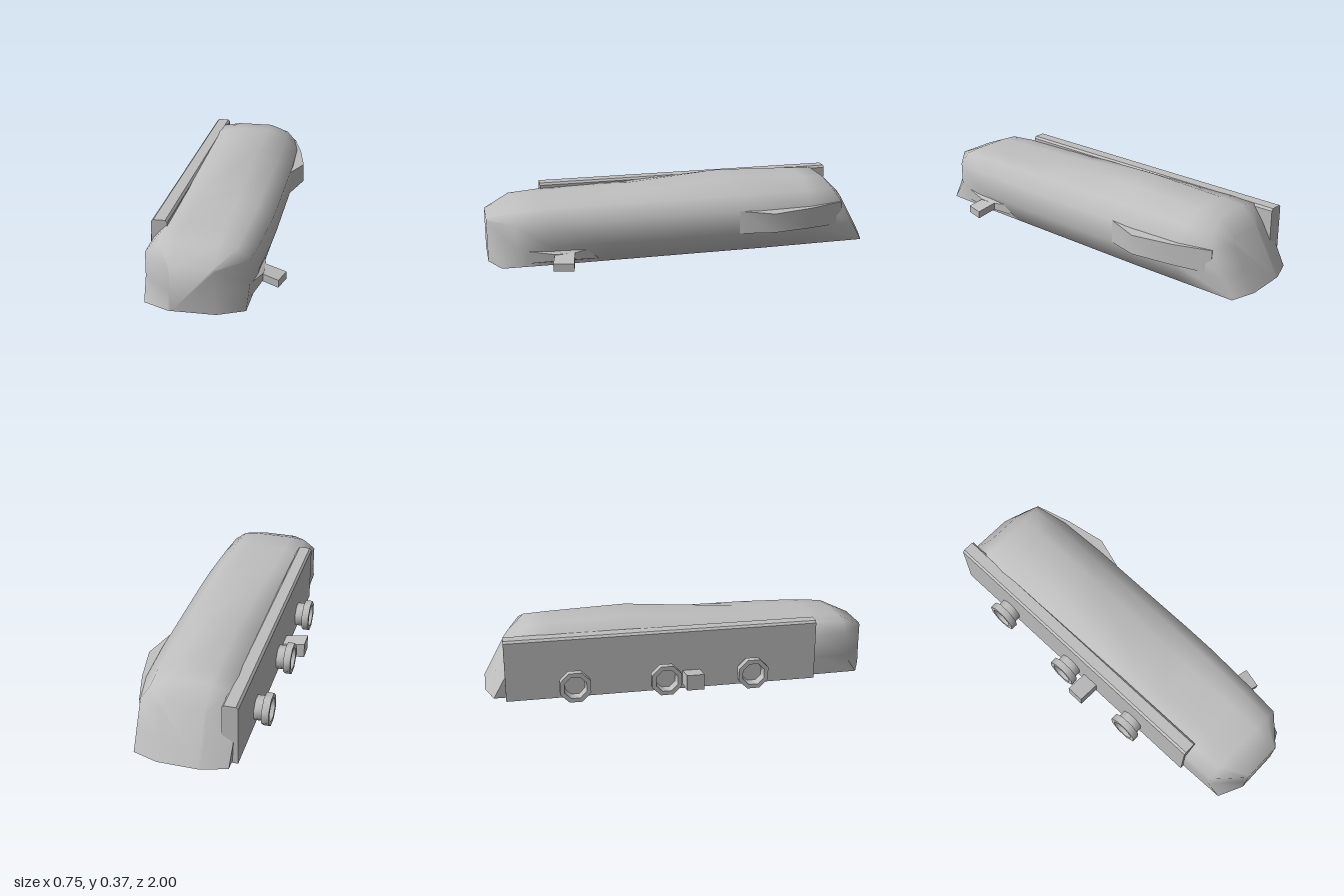
import * as THREE from 'three';
import { toCreasedNormals } from 'three/addons/utils/BufferGeometryUtils.js';

// Skin a list of rings (each an array of [x, y, z]) and close both ends
function loft(rings, crease) {
  const n = rings[0].length, idx = [];
  for (let i = 0; i < rings.length - 1; i++) {
    for (let j = 0; j < n; j++) {
      const k = (j + 1) % n;
      const a = i * n + j, b = i * n + k, c = b + n, d = a + n;
      idx.push(a, b, c, a, c, d);
    }
  }
  const e = (rings.length - 1) * n;
  for (let j = 1; j < n - 1; j++) idx.push(0, j + 1, j, e, e + j, e + j + 1);
  const geo = new THREE.BufferGeometry();
  geo.setAttribute('position', new THREE.Float32BufferAttribute(rings.flat(2), 3));
  geo.setIndex(idx);
  return toCreasedNormals(geo, crease);
}

// Twelve-sided hull section; slope leans the section forward with height
function hullRing([z, bottom, low, right, left, sideTop, shoulder, shR, shL, top, slope, lowShift]) {
  const t = 0.095;
  return [
    [-t, bottom], [t, bottom], [low, 0.03], [right, 0.13], [right, sideTop], [shoulder, shR],
    [t, top], [-t, top], [-shoulder, shL], [-left, sideTop], [-left, 0.13], [-low, 0.03],
  ].map(([x, y], i) => [x, y, z + slope * (y - 0.03) + (i === 2 || i === 11 ? lowShift : 0)]);
}

// Four-sided section facing x
const xRing = (x, y0, y1, z0, z1, skew = 0) =>
  [[x, y0, z1], [x + skew, y0, z0], [x + skew, y1, z0], [x, y1, z1]];

export function createModel() {
  const group = new THREE.Group();
  const grey = new THREE.MeshStandardMaterial({ color: 0xbfbfbf, side: THREE.DoubleSide });
  grey.name = 'plain grey';
  const add = (name, geo) => {
    const mesh = new THREE.Mesh(geo, grey);
    mesh.name = name;
    group.add(mesh);
    return mesh;
  };

  // Hull: z, bottom, low x, right x, left x, side top, shoulder x, shoulder y (both), top, slope, low shift
  const hull = [
    [-1.00, 0.03, 0.105, 0.11, 0.11, 0.24, 0.10, 0.26, 0.26, 0.27, 0.55, 0],
    [-0.96, 0.028, 0.23, 0.23, 0.235, 0.25, 0.19, 0.31, 0.335, 0.355, 0.55, 0],
    [-0.66, 0.018, 0.235, 0.265, 0.243, 0.25, 0.20, 0.312, 0.335, 0.362, 0, 0],
    [-0.40, 0.003, 0.24, 0.275, 0.245, 0.25, 0.20, 0.312, 0.33, 0.371, 0, 0],
    [-0.25, 0.003, 0.24, 0.275, 0.245, 0.25, 0.20, 0.312, 0.325, 0.376, 0, 0],
    [0.25, 0.003, 0.24, 0.275, 0.245, 0.25, 0.20, 0.312, 0.315, 0.335, 0, 0],
    [0.42, 0.003, 0.24, 0.272, 0.245, 0.25, 0.20, 0.312, 0.313, 0.322, 0, 0],
    [0.70, 0.018, 0.24, 0.256, 0.245, 0.25, 0.19, 0.308, 0.308, 0.313, 0, 0],
    [0.87, 0.026, 0.235, 0.24, 0.243, 0.25, 0.18, 0.297, 0.297, 0.305, 0, 0.07],
    [1.00, 0.03, 0.11, 0.105, 0.105, 0.24, 0.10, 0.248, 0.248, 0.25, 0, 0],
  ];
  add('hull', loft(hull.map(hullRing), 1.2));

  // Side bulge toward the rear
  const bulge = [[-0.84, 0.235, 0], [-0.65, 0.29, 0.006], [-0.44, 0.33, 0.01], [-0.27, 0.275, 0]];
  add('sideBulge', loft(bulge.map(([z, x, inset]) => [
    [0.22, 0.13, z], [x, 0.13 + inset, z], [x, 0.25 - inset, z], [0.22, 0.25, z],
  ]), 0.6));

  // Long side panel with chamfered top edges
  const outline = [[-0.258, 0.019], [-0.18, 0.019], [-0.18, 0.325], [-0.19, 0.336], [-0.247, 0.336], [-0.258, 0.325]];
  const panel = new THREE.ExtrudeGeometry(
    new THREE.Shape(outline.map(([x, y]) => new THREE.Vector2(x, y))), { depth: 1.6, bevelEnabled: false });
  add('sidePanel', panel.translate(0, 0, -0.9));

  // Flanged hollow ports on the panel
  const profile = [[0.064, 0], [0.064, 0.042], [0.083, 0.042], [0.083, 0.079], [0.06, 0.079], [0.054, 0.035], [0, 0.035]];
  const portGeo = toCreasedNormals(new THREE.LatheGeometry(
    profile.map(([r, y]) => new THREE.Vector2(r, y)), 8, Math.PI / 8), 0.9);
  for (const z of [-0.56, -0.1, 0.35]) {
    const port = add('port', portGeo);
    port.rotation.z = Math.PI / 2;
    port.position.set(-0.257, 0.099, z);
  }

  // Stub peg beside the middle port
  add('peg', loft([xRing(-0.374, 0.054, 0.135, -0.005, 0.085), xRing(-0.25, 0.046, 0.115, -0.005, 0.085)], 0.6));

  // Lever on the opposite side with its flared root
  add('lever', loft([xRing(0.235, 0.063, 0.1, 0.58, 0.675, 0.025), xRing(0.346, 0.036, 0.074, 0.6, 0.7, 0.025)], 0.6));
  add('leverRoot', loft([xRing(0.235, 0.045, 0.115, 0.42, 0.84), xRing(0.272, 0.06, 0.095, 0.59, 0.68)], 0.6));

  return group;
}
